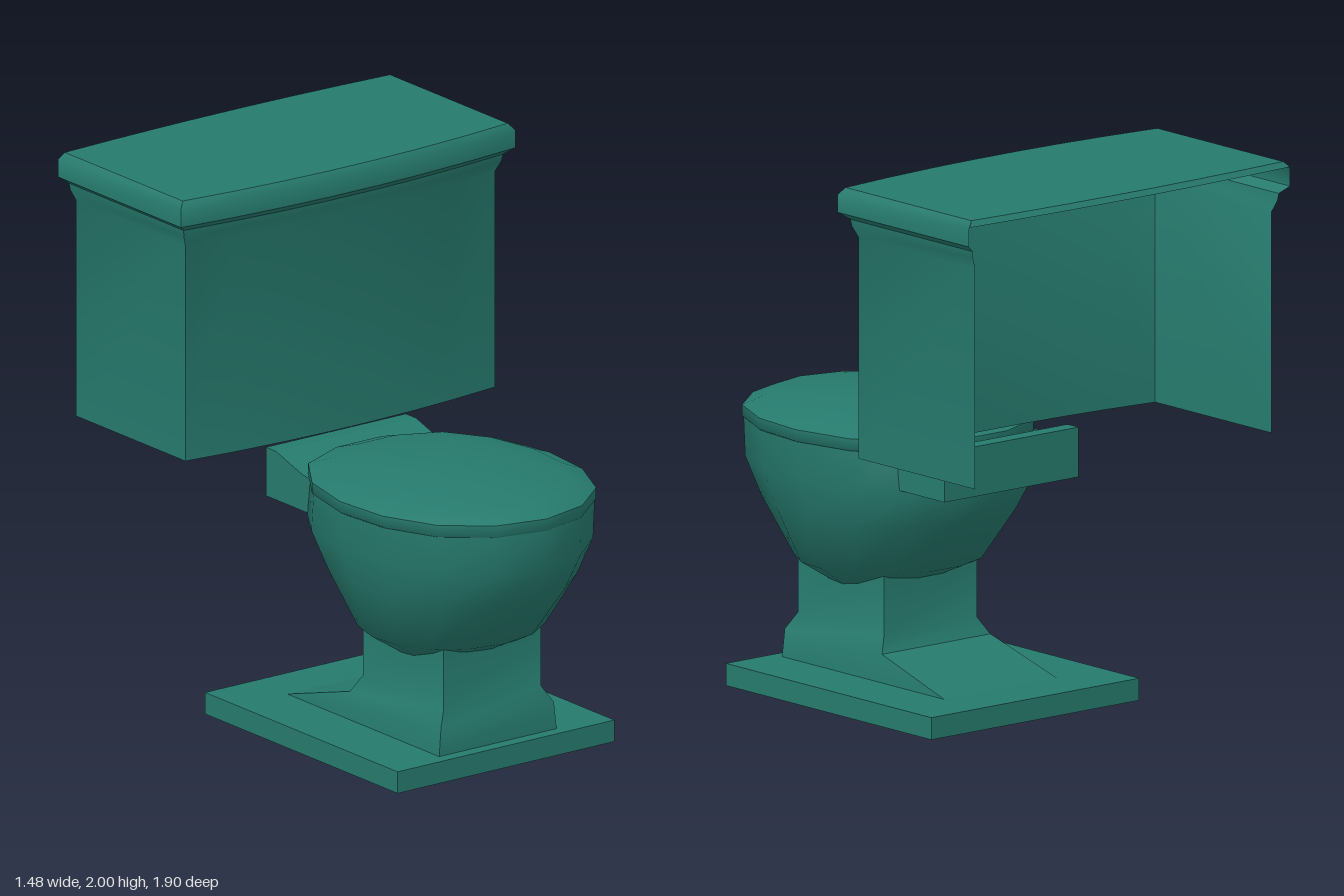
import * as THREE from 'three';
import { toCreasedNormals } from 'three/addons/utils/BufferGeometryUtils.js';

const material = new THREE.MeshStandardMaterial({ color: 0x267a6d, side: THREE.DoubleSide });

function addMesh(parent, name, geometry) {
  const mesh = new THREE.Mesh(geometry, material);
  mesh.name = name;
  parent.add(mesh);
  return mesh;
}

// Skin a list of equal-length rows of [x, y, z] points
function loft(rows, closed, crease = 0.7) {
  const n = rows[0].length;
  const index = [];
  for (let r = 0; r < rows.length - 1; r++) {
    for (let c = 0; c < (closed ? n : n - 1); c++) {
      const a = r * n + c, b = r * n + (c + 1) % n;
      index.push(a, b, b + n, a, b + n, a + n);
    }
  }
  const g = new THREE.BufferGeometry();
  g.setAttribute('position', new THREE.Float32BufferAttribute(rows.flat(2), 3));
  g.setIndex(index);
  return toCreasedNormals(g, crease);
}

// Egg-shaped outline, right half from front to back, then mirrored
const half = [[0.19, 0.9], [0.35, 0.77], [0.44, 0.57], [0.46, 0.35], [0.41, 0.12], [0.29, -0.06], [0.1, -0.145]];
const egg = [[0, 0.945], ...half, ...half.map(([x, z]) => [-x, z]).reverse()];

// Egg ring at height y, with half width w, front z and back z
function eggRing([y, w, front, back]) {
  return egg.map(([x, z]) => [x / 0.46 * w, y, back + (z + 0.145) / 1.09 * (front - back)]);
}

// Rectangular ring at height y
function rectRing([y, w, front, back]) {
  return [[-w, y, front], [w, y, front], [w, y, back], [-w, y, back]];
}

function rectPath(PathType, w, front, back) {
  return new PathType([[-w, -front], [w, -front], [w, -back], [-w, -back]].map(p => new THREE.Vector2(...p)));
}

const columns = [-1, -0.7, -0.4, -0.15, 0.15, 0.4, 0.7, 1];

// Bowed front edge of the tank, grown outward by o
function frontEdge(y, o) {
  return columns.map(t => [t * (0.685 + o), y, -0.21 + o * 0.85 - 0.045 * t * t]);
}

export function createModel() {
  const model = new THREE.Group();
  model.name = 'toilet';

  // Base: hollow slab with a rim underneath
  const rim = rectPath(THREE.Shape, 0.48, 0.71, -0.41);
  rim.holes.push(rectPath(THREE.Path, 0.39, 0.62, -0.32));
  const rimGeometry = new THREE.ExtrudeGeometry(rim, { depth: 0.08, bevelEnabled: false });
  addMesh(model, 'baseRim', rimGeometry.rotateX(-Math.PI / 2));
  const plate = rectPath(THREE.Shape, 0.39, 0.62, -0.32);
  plate.holes.push(rectPath(THREE.Path, 0.26, 0.615, -0.22));
  addMesh(model, 'basePlate', new THREE.ShapeGeometry(plate).rotateX(-Math.PI / 2)).position.y = 0.08;

  // Pedestal with a long sloping heel
  addMesh(model, 'pedestal', loft([
    [0.08, 0.26, 0.663, -0.22],
    [0.18, 0.25, 0.66, 0.13],
    [0.24, 0.215, 0.63, 0.16],
    [0.46, 0.215, 0.63, 0.16],
  ].map(rectRing), true));

  // Bowl
  addMesh(model, 'bowl', loft([
    [0.385, 0.215, 0.56, 0.24],
    [0.46, 0.33, 0.71, 0.08],
    [0.66, 0.405, 0.87, -0.08],
    [0.8, 0.45, 0.945, -0.165],
    [0.94, 0.455, 0.945, -0.14],
  ].map(eggRing), true, 1));

  // Seat cover, gently domed
  addMesh(model, 'seatCover', loft([
    [0.94, 0.455, 0.945, -0.14],
    [0.945, 0.462, 0.948, -0.143],
    [0.985, 0.462, 0.948, -0.143],
    [1.02, 0.375, 0.87, -0.04],
    [1.045, 0.2, 0.62, 0.18],
    [1.055, 0, 0.4, 0.4],
  ].map(eggRing), true, 1));

  // Shelf joining the bowl to the tank
  const shelf = new THREE.Shape([
    [0.28, 0.81], [0.28, 0.99], [0.22, 0.99], [0.07, 0.945], [0, 0.935], [0, 0.81],
  ].map(p => new THREE.Vector2(...p)));
  const shelfGeometry = new THREE.ExtrudeGeometry(shelf, { depth: 0.62, bevelEnabled: false });
  addMesh(model, 'shelf', shelfGeometry.rotateY(Math.PI / 2).translate(-0.31, 0, 0)).geometry.translate(0, 0, 0);

  // Tank walls and moulded lid edge, open at the back and bottom
  const profile = [[1.02, 0], [1.82, 0], [1.86, 0.018], [1.885, 0.022], [1.91, 0.056], [1.975, 0.056], [2, 0.035]];
  const walls = profile.map(([y, o]) => {
    const row = frontEdge(y, o), w = 0.685 + o, back = -0.89 - o * 0.6;
    return [[-w, y, back], ...row, [w, y, back]];
  });
  addMesh(model, 'tank', loft(walls, false));

  // Lid top with a bowed back lip
  const backEdge = (y, w, z) => columns.map(t => [t * w, y, z + 0.022 * t * t]);
  addMesh(model, 'tankLid', loft([
    frontEdge(2, 0.035),
    backEdge(2, 0.72, -0.933),
    backEdge(1.98, 0.74, -0.948),
  ], false));

  return model;
}
